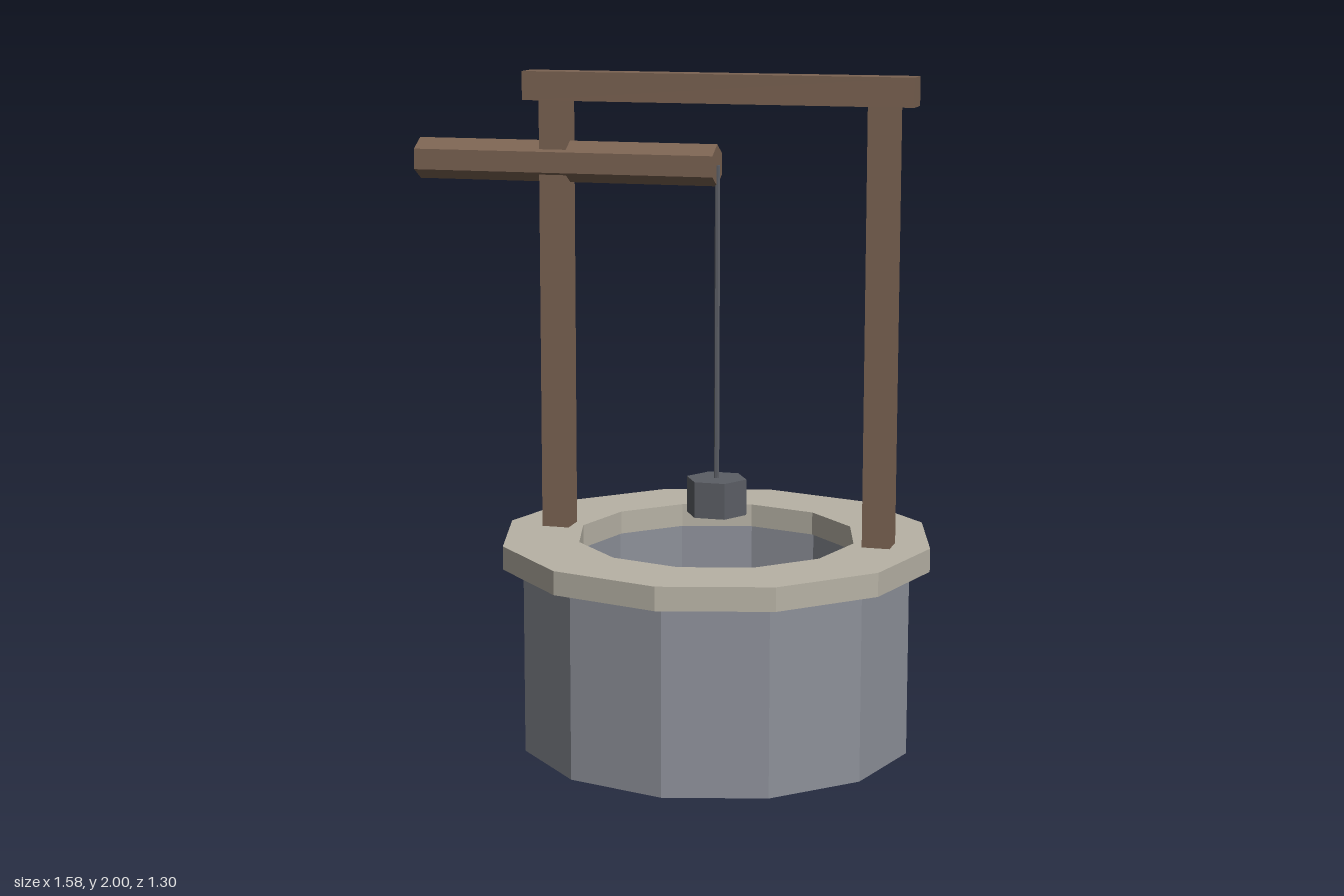
import * as THREE from 'three';

const WELL_X = 0.138; // axis of the well shaft, rope and bucket

function material(name, color) {
  const m = new THREE.MeshStandardMaterial({ color, flatShading: true });
  m.name = name;
  return m;
}

export function createModel() {
  const group = new THREE.Group();
  const stone = material('grey stone', 0x8d9099);
  const coping = material('pale stone', 0xb7b2a5);
  const wood = material('brown wood', 0x7b6352);
  const iron = material('dark iron', 0x5b5e65);
  const water = material('dark water', 0x40414a);

  function add(name, geometry, mat, x, y, z = 0) {
    const mesh = new THREE.Mesh(geometry, mat);
    mesh.name = name;
    mesh.position.set(x, y, z);
    group.add(mesh);
    return mesh;
  }

  // Twelve-sided hollow ring with a rectangular section
  function ring(inner, outer, height) {
    const section = [[outer, 0], [outer, height], [inner, height], [inner, 0], [outer, 0]];
    return new THREE.LatheGeometry(section.map(([r, y]) => new THREE.Vector2(r, y)), 12);
  }

  // Hexagonal prism with corners pointing along x
  const hexPrism = (radius, length) =>
    new THREE.CylinderGeometry(radius, radius, length, 6, 1, false, Math.PI / 6);

  // Masonry shaft, overhanging rim and the water inside
  add('wellWall', ring(0.425, 0.587, 0.56), stone, WELL_X, 0);
  add('wellRim', ring(0.419, 0.648, 0.07), coping, WELL_X, 0.56);
  add('water', new THREE.CylinderGeometry(0.424, 0.424, 0.03, 12), water, WELL_X, 0.108);

  // Timber frame
  for (const side of [-1, 1]) {
    add(side > 0 ? 'leftPost' : 'rightPost',
      new THREE.BoxGeometry(0.083, 1.285, 0.083), wood, WELL_X + side * 0.494, 1.2725);
  }
  add('crossBeam', new THREE.BoxGeometry(1.174, 0.085, 0.085), wood, WELL_X, 1.9575);

  // Hexagonal roller lying along x, with a corner on top
  add('roller', hexPrism(0.0615, 0.926).rotateZ(Math.PI / 2), wood, -0.326, 1.734);

  // Rope and bucket
  add('rope', hexPrism(0.008, 0.934), iron, WELL_X, 1.267);
  add('bucket', hexPrism(0.092, 0.108), iron, WELL_X, 0.749);

  return group;
}
